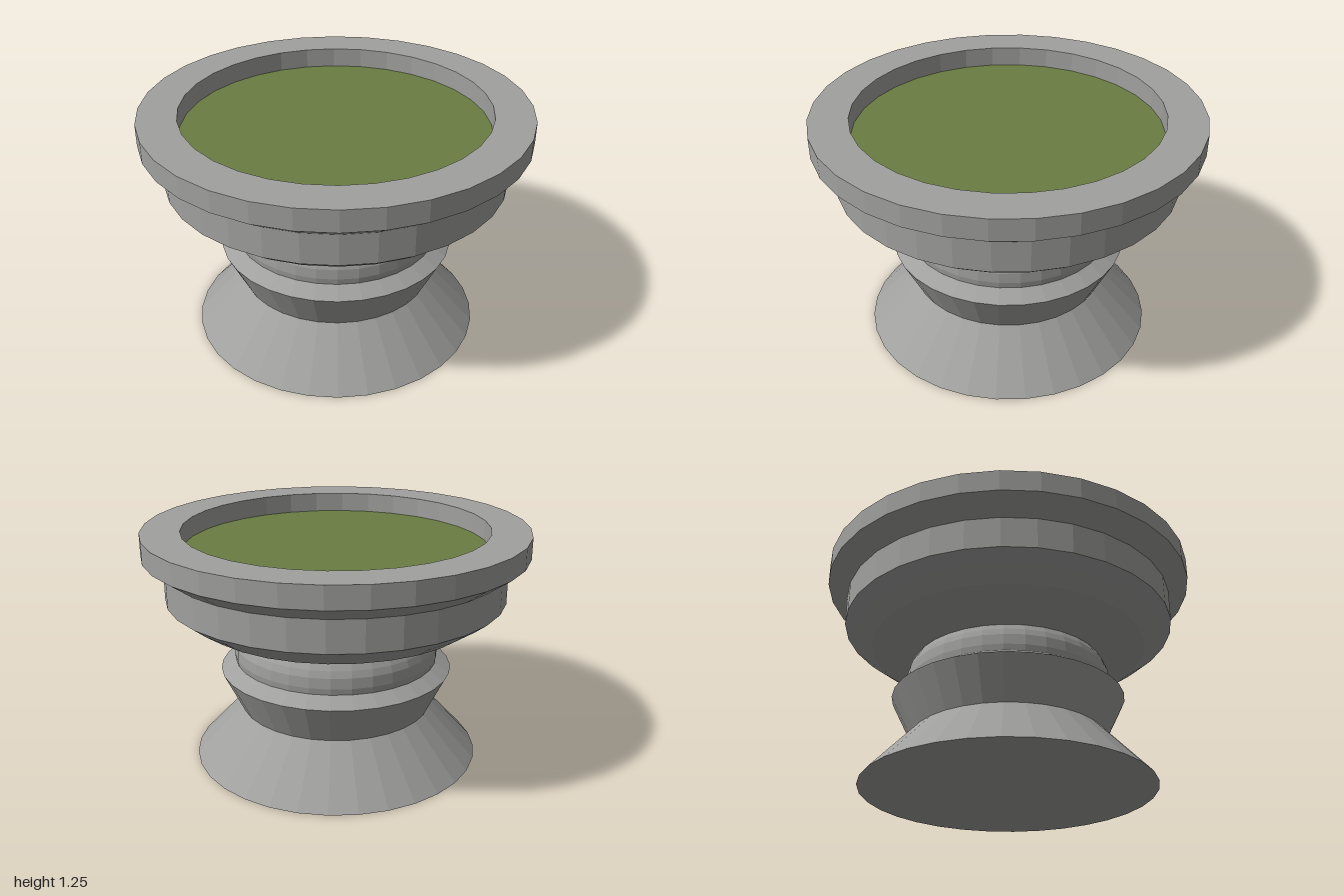
import * as THREE from 'three';

const SIDES = 32;

export function createModel() {
  const stone = new THREE.MeshStandardMaterial({ color: 0xa0a09e, flatShading: true });
  stone.name = 'grey stone';
  const moss = new THREE.MeshStandardMaterial({ color: 0x6a7c42, flatShading: true });
  moss.name = 'green filling';

  const model = new THREE.Group();
  model.name = 'planter';

  // Turns a profile of [radius, height] points, listed from bottom to top
  const turn = (name, profile) => {
    const points = profile.map(([r, y]) => new THREE.Vector2(r, y));
    const mesh = new THREE.Mesh(new THREE.LatheGeometry(points, SIDES), stone);
    mesh.name = name;
    model.add(mesh);
  };

  // Flared foot with closed underside
  turn('foot', [[0, 0], [0.77, 0], [0.515, 0.275]]);

  // Collar widening upward, then stepping in to the neck
  turn('collar', [[0.515, 0.275], [0.62, 0.49], [0.54, 0.537]]);

  // Slightly bulging neck
  turn('neck', [[0.54, 0.537], [0.545, 0.57], [0.542, 0.625], [0.53, 0.66], [0.51, 0.695]]);

  // Rounded bowl with straight wall
  turn('bowl', [[0.51, 0.695], [0.743, 0.788], [0.83, 0.848], [0.892, 0.897], [0.892, 1.06]]);

  // Overhanging rim and the inner wall down to the filling
  turn('rim', [[0.892, 1.06], [1, 1.137], [1, 1.25], [0.797, 1.25], [0.797, 1.145]]);

  // Flat filling inside the bowl, turned so its corners meet the wall
  const filling = new THREE.Mesh(new THREE.CircleGeometry(0.797, SIDES), moss);
  filling.name = 'filling';
  filling.rotation.x = -Math.PI / 2;
  filling.position.y = 1.145;
  model.add(filling);

  return model;
}
